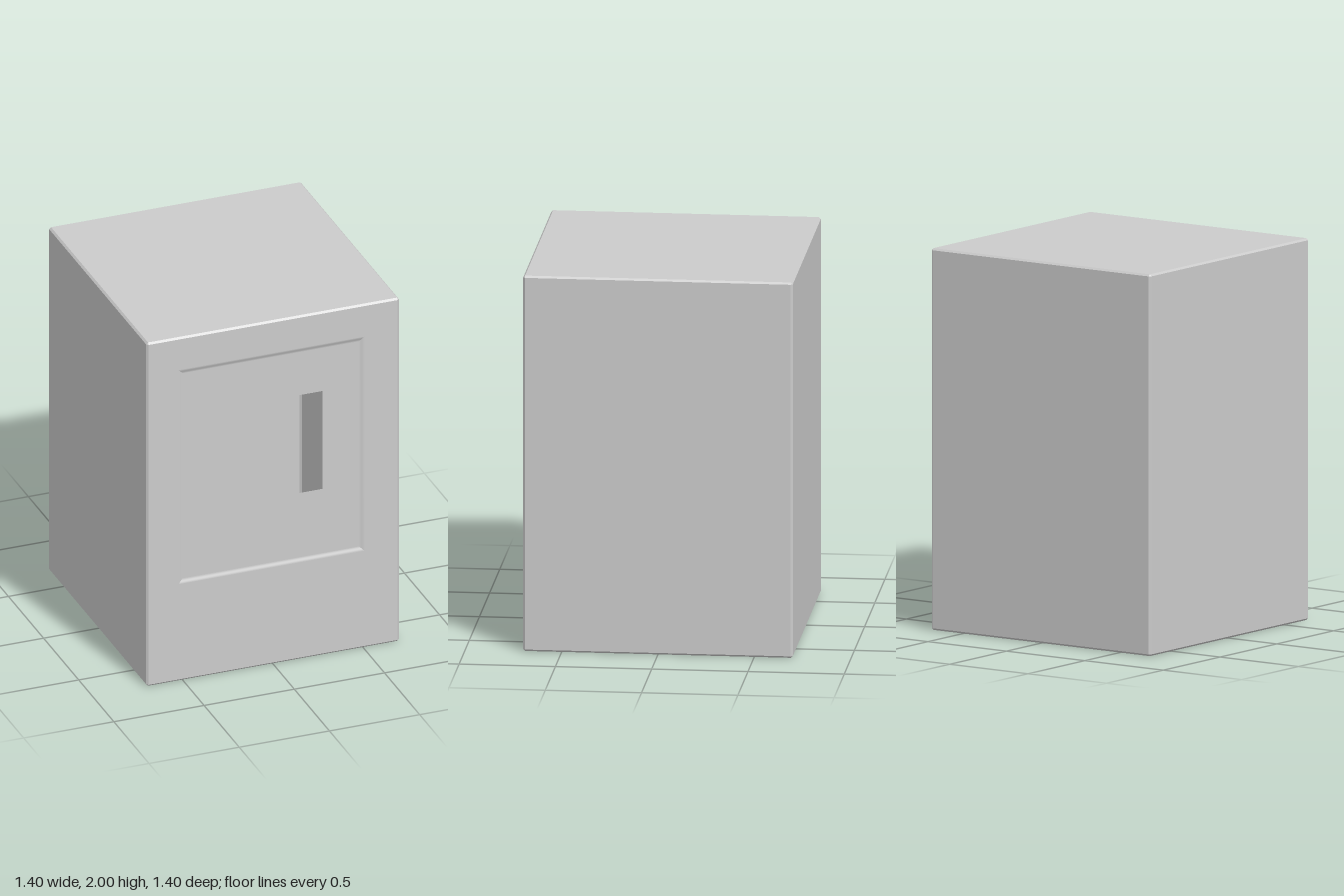
import * as THREE from 'three';
import { ConvexGeometry } from 'three/addons/geometries/ConvexGeometry.js';
import { mergeGeometries } from 'three/addons/utils/BufferGeometryUtils.js';

const W = 0.7, H = 2, BEVEL = 0.01;       // half width, height, edge chamfer
const DEPTH = 0.008, SLOPE = 0.026;       // panel recess depth and sloped rim width
const PANEL = [-0.525, 0.565, 0.505, 1.812];  // x0, y0, x1, y1
const WINDOW = [-0.31, 0.965, 0.277, 1.535];

const material = new THREE.MeshStandardMaterial({ color: 0xcccccc, side: THREE.DoubleSide });

const inset = ([x0, y0, x1, y1], t) => [x0 + t, y0 + t, x1 - t, y1 - t];
const corners = ([x0, y0, x1, y1]) => [[x0, y0], [x1, y0], [x1, y1], [x0, y1]];

// Flat rectangular sheet with a rectangular opening
function frame(outer, opening, z) {
  const points = r => corners(r).map(p => new THREE.Vector2(...p));
  const shape = new THREE.Shape(points(outer));
  shape.holes.push(new THREE.Path(points(opening)));
  return new THREE.ShapeGeometry(shape).translate(0, 0, z);
}

// Hollow chamfered box, left open on the front
function shellGeometry() {
  const points = [];
  for (const x of [-1, 1]) for (const y of [-1, 1]) for (const z of [-1, 1]) {
    for (let axis = 0; axis < 3; axis++) {
      const inward = [0, 1, 2].map(i => (i === axis ? 0 : BEVEL));
      points.push(new THREE.Vector3(
        x * (W - inward[0]), H / 2 + y * (H / 2 - inward[1]), z * (W - inward[2])));
    }
  }
  const geometry = new ConvexGeometry(points);
  const pos = geometry.attributes.position, kept = [];
  for (let i = 0; i < pos.count; i += 3) {
    const isFront = [0, 1, 2].every(k => pos.getZ(i + k) > W - 1e-4);
    if (!isFront) for (let k = 0; k < 3; k++) kept.push(pos.getX(i + k), pos.getY(i + k), pos.getZ(i + k));
  }
  const open = new THREE.BufferGeometry();
  open.setAttribute('position', new THREE.Float32BufferAttribute(kept, 3));
  open.computeVertexNormals();
  return open;
}

// Softly curved, mitred rim running from the front face down to the panel
function rimGeometry(steps = 8) {
  const sides = [];
  for (let s = 0; s < 4; s++) {
    const position = [], index = [];
    for (let i = 0; i <= steps; i++) {
      const t = i / steps;
      const loop = corners(inset(PANEL, t * SLOPE));
      const z = W - DEPTH * t * t * (3 - 2 * t);
      position.push(...loop[s], z, ...loop[(s + 1) % 4], z);
      if (i < steps) {
        const a = i * 2;
        index.push(a, a + 1, a + 3, a, a + 3, a + 2);
      }
    }
    const side = new THREE.BufferGeometry();
    side.setAttribute('position', new THREE.Float32BufferAttribute(position, 3));
    side.setIndex(index);
    side.computeVertexNormals();
    sides.push(side);
  }
  return mergeGeometries(sides);
}

export function createModel() {
  const group = new THREE.Group();
  group.name = 'cabinet';
  const add = (name, geometry) => {
    const mesh = new THREE.Mesh(geometry, material);
    mesh.name = name;
    group.add(mesh);
  };
  const front = [-W + BEVEL, BEVEL, W - BEVEL, H - BEVEL];
  add('bodyShell', shellGeometry());
  add('frontFace', frame(front, PANEL, W));
  add('panelRim', rimGeometry());
  add('recessedPanel', frame(inset(PANEL, SLOPE), WINDOW, W - DEPTH));
  return group;
}
